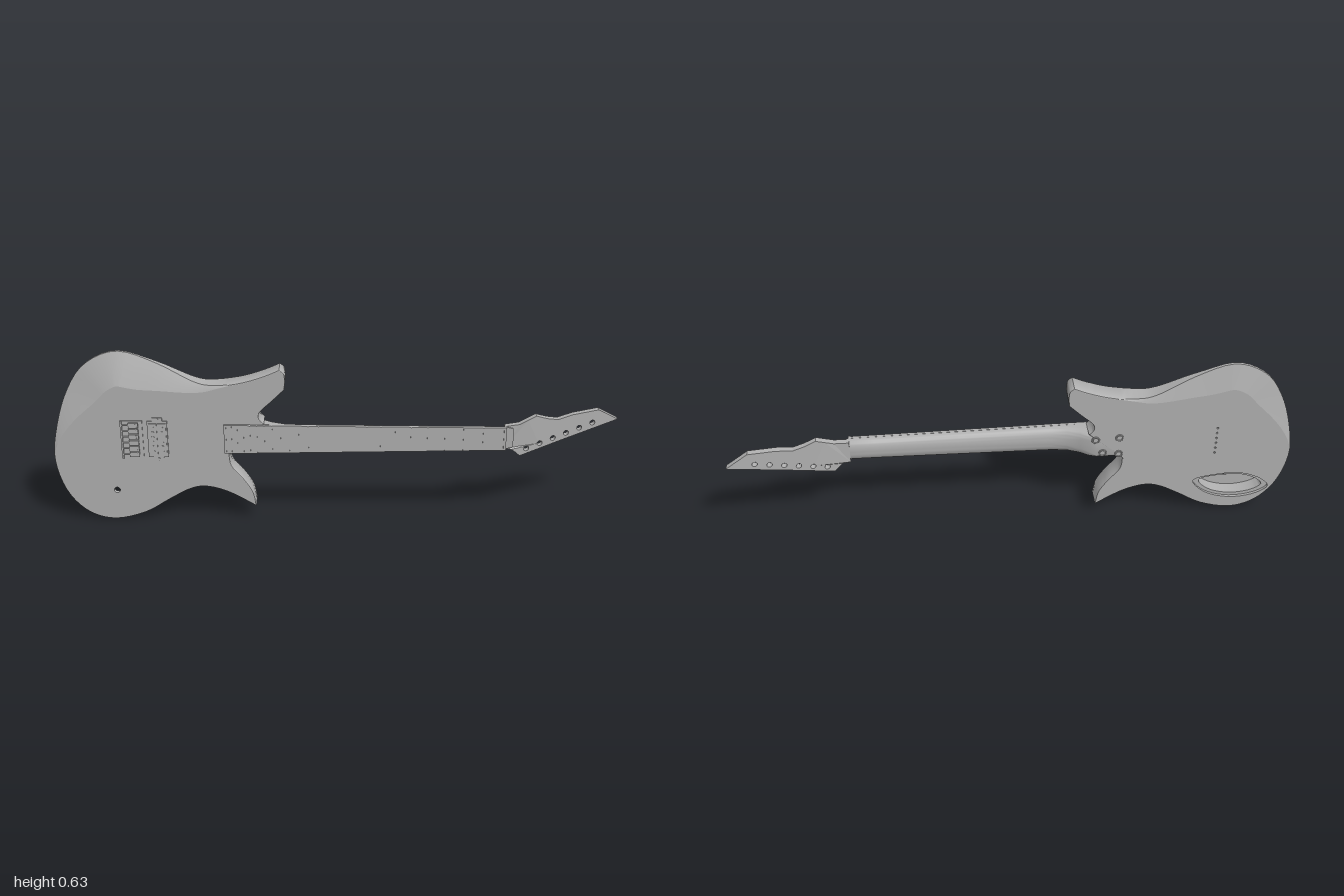
import * as THREE from 'three';
import { toCreasedNormals } from 'three/addons/utils/BufferGeometryUtils.js';

const V2 = (x, y) => new THREE.Vector2(x, y);
const pts = (list) => list.map(([x, y]) => V2(x, y));
const step = THREE.MathUtils.smoothstep;
const FRONT = 0.055, BACK = -0.02, MID = 0.32;

// Skin over closed rings of points; rings listed in reverse face inwards
function loft(rings, crease = 0.6) {
  const n = rings[0].length, pos = [], idx = [];
  rings.forEach((r) => r.forEach((p) => pos.push(p.x, p.y, p.z)));
  for (let k = 0; k < rings.length - 1; k++) {
    for (let i = 0; i < n; i++) {
      const j = (i + 1) % n, a = k * n + i, b = k * n + j, c = b + n, d = a + n;
      idx.push(d, c, b, d, b, a);
    }
  }
  const g = new THREE.BufferGeometry();
  g.setAttribute('position', new THREE.Float32BufferAttribute(pos, 3));
  g.setIndex(idx);
  return toCreasedNormals(g, crease);
}

const ringAt = (points, z) => points.map((p) => new THREE.Vector3(p.x, p.y, z));

// Flat face with holes, looking to the front or to the back
function face(points, z, holes = [], back = false) {
  const s = new THREE.Shape(points);
  s.holes = holes.map((h) => new THREE.Path(h));
  const g = new THREE.ShapeGeometry(s);
  if (back) {
    const a = g.index.array;
    for (let i = 0; i < a.length; i += 3) [a[i], a[i + 1]] = [a[i + 1], a[i]];
    g.attributes.normal.array.forEach((v, i, arr) => { arr[i] = -v; });
  }
  return g.translate(0, 0, z);
}

function circle(x, y, r, n = 16) {
  return Array.from({ length: n }, (_, i) => {
    const a = (i / n) * Math.PI * 2;
    return V2(x + r * Math.cos(a), y + r * Math.sin(a));
  });
}

export function createModel() {
  const root = new THREE.Group();
  root.name = 'electricGuitar';
  const grey = new THREE.MeshStandardMaterial({ color: 0xb0b0b0 });
  grey.name = 'plain grey';
  const add = (name, geo, parent = root) => {
    const m = new THREE.Mesh(geo, grey);
    m.name = name;
    parent.add(m);
    return m;
  };
  const group = (name) => {
    const g = new THREE.Group();
    g.name = name;
    root.add(g);
    return g;
  };
  const box = (name, x, y, z, w, h, d, parent) =>
    add(name, new THREE.BoxGeometry(w, h, d).translate(x, y, z), parent);
  const disc = (name, x, y, z, r, h, parent) =>
    add(name, new THREE.CylinderGeometry(r, r, h, 14).rotateX(Math.PI / 2).translate(x, y, z), parent);

  // Body outline, anticlockwise from the upper side of the neck joint
  const s = new THREE.Shape();
  s.moveTo(-0.26, 0.375);
  s.splineThru(pts([[-0.277, 0.395], [-0.272, 0.42], [-0.23, 0.46], [-0.187, 0.502]]));
  s.splineThru(pts([[-0.184, 0.53], [-0.187, 0.56], [-0.203, 0.575]]));
  s.splineThru(pts([[-0.257, 0.552], [-0.337, 0.528], [-0.43, 0.517], [-0.5, 0.528], [-0.63, 0.59],
    [-0.765, 0.63], [-0.88, 0.58], [-0.95, 0.475], [-0.99, 0.34], [-1, 0.23], [-0.968, 0.115],
    [-0.9, 0.035], [-0.807, 0.005], [-0.695, 0.03], [-0.604, 0.083], [-0.53, 0.123], [-0.47, 0.133],
    [-0.39, 0.11], [-0.295, 0.055]]));
  s.splineThru(pts([[-0.305, 0.11], [-0.337, 0.163], [-0.378, 0.215], [-0.385, 0.265]]));
  const outline = s.getPoints(4);

  // Each ring is the outline moved inwards; the arm and belly contours thin the upper edge
  const n = outline.length;
  const bodyRing = (inset, cut, baseInset, zFlat, zCut) => outline.map((p, i) => {
    const a = outline[(i + n - 1) % n], b = outline[(i + 1) % n];
    const t = b.clone().sub(a).normalize();
    const w = step(p.y, 0.25, 0.56) * (1 - step(p.x, -0.72, -0.36));
    const d = baseInset + inset * w;
    return new THREE.Vector3(p.x - t.y * d, p.y + t.x * d, zFlat + (zCut - zFlat) * w * cut);
  });
  const rings = [
    bodyRing(0.11, 0, 0.003, FRONT, FRONT),
    bodyRing(0.05, 1, 0.001, FRONT - 0.001, 0.034),
    bodyRing(0, 1, 0, FRONT - 0.003, 0.013),
    bodyRing(0, 1, 0, BACK + 0.003, 0.002),
    bodyRing(0.05, 1, 0.001, BACK + 0.001, -0.01),
    bodyRing(0.09, 0, 0.003, BACK, BACK),
  ];
  const flat = (r) => r.map((p) => V2(p.x, p.y));

  // Holes: control cavity, knob shaft and string ferrules
  const cavity = new THREE.CatmullRomCurve3(
    [[-0.655, 0.14], [-0.74, 0.163], [-0.83, 0.163], [-0.91, 0.13], [-0.94, 0.095], [-0.9, 0.065],
      [-0.8, 0.052], [-0.7, 0.085]].map(([x, y]) => new THREE.Vector3(x, y, 0)), true)
    .getPoints(40).slice(0, -1).map((p) => V2(p.x, p.y));
  const cavityInner = cavity.map((p) => V2(-0.8 + (p.x + 0.8) * 0.84, 0.11 + (p.y - 0.11) * 0.78));
  const knob = circle(-0.79, 0.12, 0.011);
  const ferrules = Array.from({ length: 6 }, (_, i) => circle(-0.722, 0.265 + i * 0.022, 0.004, 8));

  const body = group('body');
  add('bodySides', loft(rings), body);
  add('bodyFront', face(flat(rings[0]), FRONT, [knob]), body);
  add('bodyBack', face(flat(rings[5]), BACK, [cavity, ...ferrules], true), body);
  add('controlCavity', loft([ringAt(cavity, BACK), ringAt(cavity, -0.01), ringAt(cavityInner, -0.01),
    ringAt(cavityInner, 0.04)]), body);
  add('cavityFloor', face(cavityInner, 0.04, [knob], true), body);
  add('knobHole', loft([ringAt(knob, 0.04), ringAt(knob, FRONT)]), body);
  ferrules.forEach((f) => {
    add('stringHole', loft([ringAt(f, BACK), ringAt(f, 0.02)]), body);
    add('stringHoleEnd', face(f, 0.02, [], true), body);
  });

  // Neck: [x, half width, depth, squareness exponent], from the nut to the squared heel
  const neckRing = ([x, hw, depth, e]) => Array.from({ length: 21 }, (_, i) => {
    const a = Math.PI * (1 + i / 20), c = Math.cos(a), d = Math.abs(Math.sin(a));
    return new THREE.Vector3(x, MID + hw * Math.sign(c) * Math.abs(c) ** e, 0.054 - depth * d ** e);
  });
  add('neck', loft([
    [0.615, 0.002, 0.018, 1], [0.612, 0.036, 0.022, 0.9], [0.585, 0.042, 0.028, 0.8], [0.5, 0.043, 0.028, 0.85],
    [0.2, 0.046, 0.03, 0.85], [-0.13, 0.05, 0.032, 0.85], [-0.19, 0.051, 0.038, 0.75],
    [-0.235, 0.052, 0.054, 0.55], [-0.265, 0.053, 0.069, 0.4], [-0.29, 0.053, 0.074, 0.3],
    [-0.399, 0.054, 0.074, 0.3],
  ].map(neckRing)));

  // Fretboard, frets and nut
  const halfWidth = (x) => 0.0425 + (0.585 - x) * 0.0115;
  const board = new THREE.Shape(pts([[-0.4, MID - halfWidth(-0.4)], [0.585, MID - halfWidth(0.585)],
    [0.585, MID + halfWidth(0.585)], [-0.4, MID + halfWidth(-0.4)]]));
  add('fretboard', new THREE.ExtrudeGeometry(board, { depth: 0.011, bevelEnabled: false }).translate(0, 0, 0.053));
  const frets = group('frets');
  for (let i = 1; i <= 24; i++) {
    const x = 0.58 - 1.298 * (1 - 2 ** (-i / 12));
    box('fret', x, MID, 0.0645, 0.003, halfWidth(x) * 2 - 0.002, 0.003, frets);
  }
  box('nut', 0.583, MID, 0.058, 0.009, 0.084, 0.018);

  // Headstock, leaning back by a shear
  const head = new THREE.Shape(pts([[0.583, 0.278], [0.61, 0.274], [0.625, 0.262], [0.642, 0.246],
    [0.79, 0.29], [1, 0.35], [0.925, 0.393], [0.83, 0.384], [0.775, 0.371], [0.735, 0.379], [0.695, 0.393],
    [0.665, 0.38], [0.635, 0.367], [0.583, 0.362]]));
  for (let i = 0; i < 6; i++) head.holes.push(new THREE.Path(circle(0.665 + i * 0.048, 0.272 + i * 0.0148, 0.0095)));
  const headGeo = new THREE.ExtrudeGeometry(head, { depth: 0.023, bevelEnabled: false });
  const hp = headGeo.attributes.position;
  for (let i = 0; i < hp.count; i++) {
    hp.setZ(i, hp.getZ(i) + 0.026 - 0.243 * Math.max(0, hp.getX(i) - 0.61));
  }
  headGeo.computeVertexNormals();
  add('headstock', headGeo);

  // Pickup with end tabs and pole pieces
  const pickup = group('pickup');
  box('pickupFrame', -0.632, 0.319, 0.056, 0.07, 0.136, 0.008, pickup);
  box('pickupTabs', -0.632, 0.319, 0.055, 0.036, 0.162, 0.006, pickup);
  for (const x of [-0.648, -0.616]) {
    box('coil', x, 0.319, 0.059, 0.029, 0.122, 0.008, pickup);
    for (let i = 0; i < 6; i++) disc('polePiece', x, 0.274 + i * 0.018, 0.0635, 0.005, 0.002, pickup);
  }
  for (const y of [0.244, 0.394]) disc('pickupScrew', -0.632, y, 0.059, 0.005, 0.003, pickup);

  // Bridge with six saddles
  const bridge = group('bridge');
  box('bridgePlate', -0.722, 0.319, 0.056, 0.076, 0.142, 0.006, bridge);
  box('bridgeLip', -0.757, 0.319, 0.06, 0.006, 0.142, 0.012, bridge);
  for (let i = 0; i < 6; i++) {
    const y = 0.264 + i * 0.022;
    box('saddle', -0.715, y, 0.062, 0.034, 0.018, 0.009, bridge);
    add('saddleScrew', new THREE.CylinderGeometry(0.003, 0.003, 0.028, 8).rotateZ(Math.PI / 2)
      .translate(-0.744, y, 0.062), bridge);
    for (const dy of [-0.005, 0.005]) disc('heightScrew', -0.705, y + dy, 0.0665, 0.0025, 0.002, bridge);
  }

  // Neck bolts on the back
  const bolts = group('neckBolts');
  for (const [x, y] of [[-0.285, 0.35], [-0.37, 0.355], [-0.312, 0.292], [-0.37, 0.285]]) {
    add('boltRing', new THREE.TorusGeometry(0.0125, 0.0025, 8, 20).translate(x, y, BACK), bolts);
    disc('bolt', x, y, BACK, 0.009, 0.003, bolts);
  }
  return root;
}
